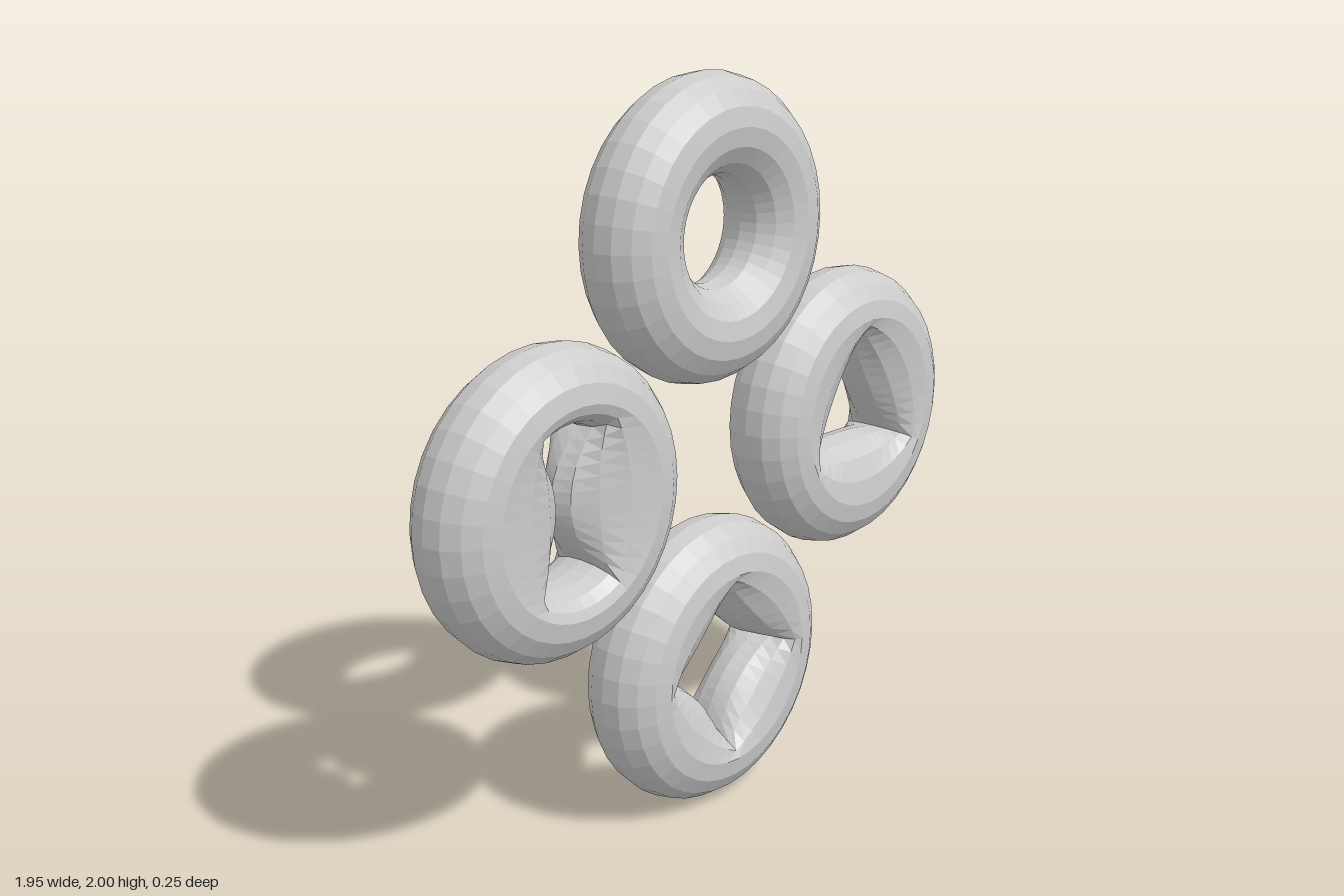
import * as THREE from 'three';

const CREST = 0.272, TUBE = 0.132, HALF_DEPTH = 0.127;
const AROUND = 36, SECTION = 16;

const polar = (r, a) => new THREE.Vector2(r * Math.cos(a), r * Math.sin(a));

// Plain round hole
const roundHole = (a) => polar(CREST - TUBE, a);

// Hole edge made of lobes that bulge towards the middle. Each lobe spans
// `width` radians about its centre angle; between lobes the edge is an arc.
function lobedHole(count, firstLobe, width, cuspRadius, apexRadius) {
  const pitch = (Math.PI * 2) / count;
  return (a) => {
    const mid = firstLobe + Math.round((a - firstLobe) / pitch) * pitch;
    const t = (a - mid) / (width / 2);
    if (Math.abs(t) > 1) return polar(cuspRadius, a);
    const chordDistance = cuspRadius * Math.cos(width / 2);
    const halfChord = cuspRadius * Math.sin(width / 2);
    const inward = chordDistance - (chordDistance - apexRadius) * (1 - t * t);
    return new THREE.Vector2(inward, halfChord * t).rotateAround(new THREE.Vector2(), mid);
  };
}

// Ring with a round outer half and an inner half that runs to the hole edge
function ringGeometry(holeEdge) {
  const positions = [], index = [];
  for (let i = 0; i < AROUND; i++) {
    const a = (i / AROUND) * Math.PI * 2;
    const crest = polar(CREST, a), outer = polar(CREST + TUBE, a), inner = holeEdge(a);
    for (let j = 0; j < SECTION; j++) {
      const v = (j / SECTION) * Math.PI * 2, c = Math.cos(v);
      const p = crest.clone().lerp(c > 0 ? outer : inner, Math.abs(c));
      positions.push(p.x, p.y, HALF_DEPTH * Math.sin(v));
      const i2 = (i + 1) % AROUND, j2 = (j + 1) % SECTION;
      const p00 = i * SECTION + j, p10 = i2 * SECTION + j;
      const p11 = i2 * SECTION + j2, p01 = i * SECTION + j2;
      index.push(p00, p10, p11, p00, p11, p01);
    }
  }
  const geometry = new THREE.BufferGeometry();
  geometry.setAttribute('position', new THREE.Float32BufferAttribute(positions, 3));
  geometry.setIndex(index);
  geometry.computeVertexNormals();
  return geometry;
}

export function createModel() {
  const group = new THREE.Group();
  group.name = 'fourRings';
  const material = new THREE.MeshStandardMaterial({
    color: 0xcccccc, flatShading: true, side: THREE.DoubleSide,
  });
  const deg = Math.PI / 180;
  const rings = [
    ['plainRing', 0, 1.596, roundHole],
    ['twoLobedRing', -0.571, 1.002, lobedHole(2, 0, 120 * deg, 0.205, 0.005)],
    ['threeLobedRing', 0.571, 1.002, lobedHole(3, 30 * deg, 120 * deg, 0.215, 0.088)],
    ['fourLobedRing', 0, 0.404, lobedHole(4, 45 * deg, 90 * deg, 0.22, 0.112)],
  ];
  for (const [name, x, y, holeEdge] of rings) {
    const ring = new THREE.Mesh(ringGeometry(holeEdge), material);
    ring.name = name;
    ring.position.set(x, y, 0);
    group.add(ring);
  }
  return group;
}
